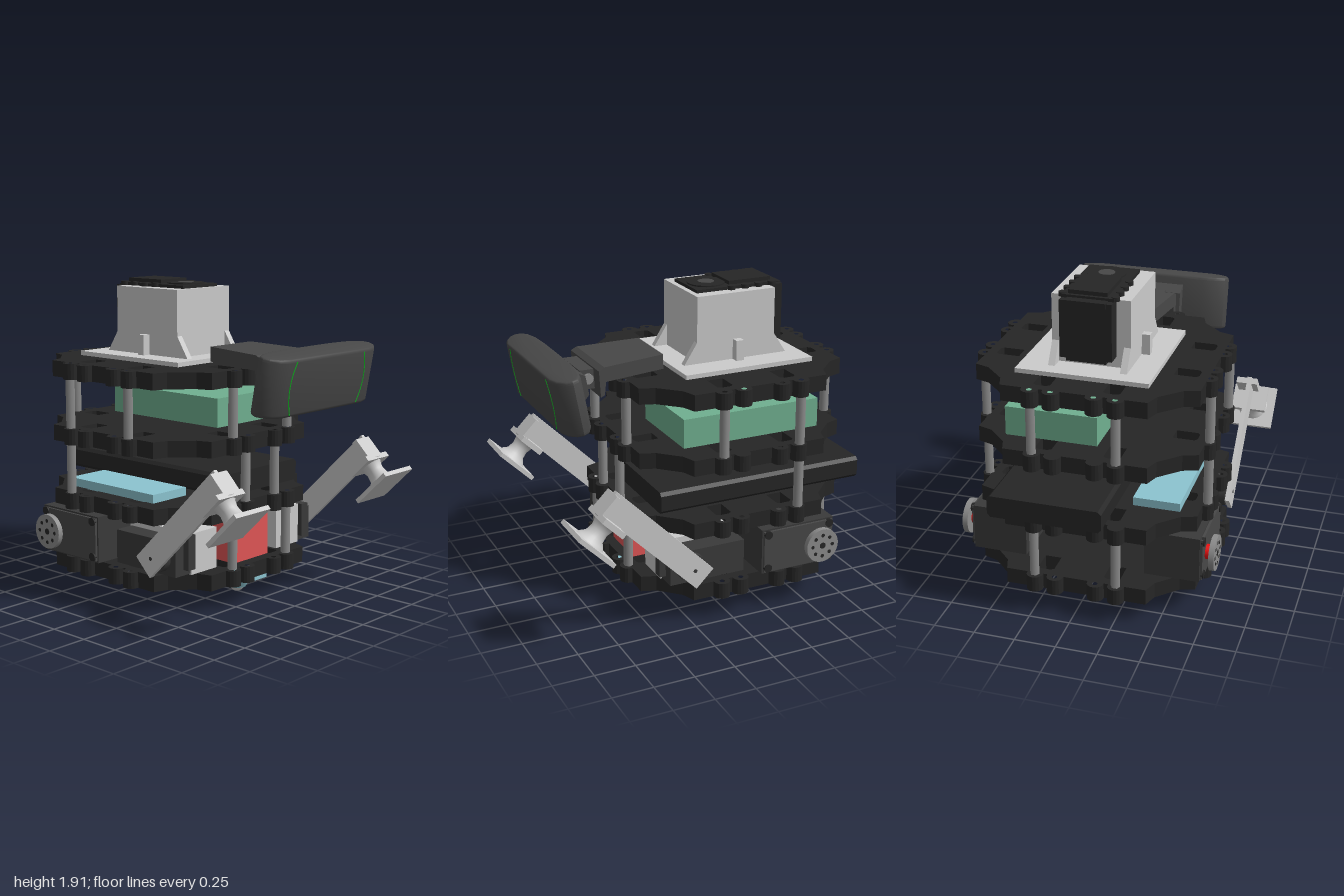
import * as THREE from 'three';
import { toCreasedNormals } from 'three/addons/utils/BufferGeometryUtils.js';

const mat = (color) => new THREE.MeshStandardMaterial({ color });
const GREY = mat(0xcccccc), BLACK = mat(0x262626), DARK = mat(0x484848), MOTOR = mat(0x3a3a3a),
  STEEL = mat(0x8c8c8c), GREEN = mat(0x70b090), BLUE = mat(0x8cc4d0), RED = mat(0xe05555),
  SHAFT = mat(0xee1111), STRIPE = mat(0x11bb22);
const CX = -0.205; // centre of the decks

function add(parent, name, geo, material) {
  const m = new THREE.Mesh(geo, material);
  m.name = name;
  parent.add(m);
  return m;
}
// box given by its limits
function box(parent, name, material, [x0, x1], [y0, y1], [z0, z1]) {
  const g = new THREE.BoxGeometry(x1 - x0, y1 - y0, z1 - z0);
  return add(parent, name, g.translate((x0 + x1) / 2, (y0 + y1) / 2, (z0 + z1) / 2), material);
}
function cyl(parent, name, material, r0, r1, h, x, y, z, axis = 'y', sides = 24) {
  const g = new THREE.CylinderGeometry(r0, r1, h, sides);
  if (axis === 'z') g.rotateX(Math.PI / 2);
  return add(parent, name, g.translate(x, y, z), material);
}
// side profile in x,y extruded between two z values
function prismGeo(pts, z0, z1) {
  const s = new THREE.Shape(pts.map((p) => new THREE.Vector2(...p)));
  return new THREE.ExtrudeGeometry(s, { depth: z1 - z0, bevelEnabled: false }).translate(0, 0, z0);
}

// deck: four equal sides with drilled lugs, hollowed corners and slots
function deckGeometry() {
  const pts = [], shape = new THREE.Shape();
  const turn = (u, v, k) => new THREE.Vector2(u, v).rotateAround(new THREE.Vector2(), -k * Math.PI / 2);
  for (let k = 0; k < 4; k++) {
    pts.push(turn(-0.43, 0.67, k));
    for (const c of [-0.25, -0.125, 0.125, 0.25]) {
      for (let i = 0; i <= 8; i++) {
        const a = Math.PI * (1 - i / 8);
        pts.push(turn(c + 0.05 * Math.cos(a), 0.68 + 0.048 * Math.sin(a) - (i % 8 ? 0 : 0.01), k));
      }
      const hole = new THREE.Path(), p = turn(c, 0.685, k);
      hole.absarc(p.x, p.y, 0.016, 0, Math.PI * 2, true);
      shape.holes.push(hole);
    }
    for (const [u, v] of [[0.43, 0.67], [0.46, 0.58], [0.52, 0.52], [0.58, 0.46]]) pts.push(turn(u, v, k));
    for (const c of [-0.205, 0.205]) {
      const corners = [[-0.05, 0.47], [0.05, 0.47], [0.05, 0.6], [0.03, 0.615], [-0.03, 0.615], [-0.05, 0.6]];
      shape.holes.push(new THREE.Path(corners.map(([u, v]) => turn(c + u, v, k))));
    }
  }
  shape.setFromPoints(pts);
  return new THREE.ExtrudeGeometry(shape, { depth: 0.098, bevelEnabled: false, curveSegments: 8 })
    .rotateX(-Math.PI / 2).translate(CX, 0, 0);
}

function addDecks(root) {
  const g = deckGeometry();
  for (const y of [0.13, 0.53, 0.93, 1.33]) add(root, 'deck', g, BLACK).position.y = y;
  // hexagonal standoffs, each listed as x, z, bottom, top
  const posts = [[-0.885, 0.25, 1.03, 1.33], [0.47, 0.25, 1.03, 1.33], [-0.455, 0.69, 1.03, 1.33],
    [0.045, 0.69, 1.03, 1.33], [-0.455, 0.69, 0.625, 0.93], [0.47, 0.135, 0.625, 0.93],
    [0.47, 0.25, 0.23, 0.53], [-0.885, 0.25, 0.23, 0.53]];
  for (const [x, z, y0, y1] of posts)
    for (const s of [1, -1]) cyl(root, 'standoff', STEEL, 0.029, 0.029, y1 - y0, x, (y0 + y1) / 2, s * z, 'y', 6);
}

function addBoards(root) {
  // battery pack with chamfered long edges
  const b = [[-0.49, 0.66], [-0.47, 0.64], [0.18, 0.64], [0.2, 0.66], [0.2, 0.755], [0.18, 0.775], [-0.47, 0.775], [-0.49, 0.755]];
  add(root, 'batteryPack', prismGeo(b.map(([z, y]) => [-z, y]), -1, 0.355).rotateY(Math.PI / 2), BLACK);
  box(root, 'blueBoard', BLUE, [-0.61, 0.115], [0.625, 0.68], [0.275, 0.56]);
  box(root, 'greenBoard', GREEN, [-0.7, 0.2], [1.03, 1.21], [-0.475, 0.085]);
  box(root, 'redBoard', RED, [-0.21, 0.4], [0.228, 0.49], [-0.16, 0.155]);
}

// one side's drive motor and lifting arm (built for +z)
function buildSide() {
  const g = new THREE.Group();
  box(g, 'driveMotor', MOTOR, [-0.7, -0.21], [0.228, 0.515], [0.37, 0.705]);
  box(g, 'driveMotorCap', DARK, [-0.69, -0.22], [0.24, 0.505], [0.7, 0.72]);
  for (const x of [-0.665, -0.245])
    for (const y of [0.265, 0.485]) cyl(g, 'motorScrew', BLACK, 0.026, 0.026, 0.02, x, y, 0.718, 'z', 12);
  cyl(g, 'driveShaft', SHAFT, 0.045, 0.045, 0.05, -0.585, 0.375, 0.735, 'z');
  cyl(g, 'wheelHub', STEEL, 0.108, 0.108, 0.033, -0.585, 0.375, 0.77, 'z', 32);
  for (let i = 0; i < 8; i++) {
    const a = i * Math.PI / 4;
    cyl(g, 'hubHole', BLACK, 0.012, 0.012, 0.004, -0.585 + 0.068 * Math.cos(a), 0.375 + 0.068 * Math.sin(a), 0.786, 'z', 10);
  }
  cyl(g, 'hubCentre', BLACK, 0.02, 0.02, 0.004, -0.585, 0.375, 0.786, 'z', 12);

  box(g, 'armMotor', MOTOR, [-0.13, 0.36], [0.235, 0.44], [0.48, 0.625]);
  box(g, 'armMotorFlange', MOTOR, [0.3, 0.4], [0.27, 0.48], [0.5, 0.56]);
  box(g, 'armMotorBracket', GREY, [-0.14, 0.37], [0.228, 0.478], [0.28, 0.5]);
  cyl(g, 'armHorn', MOTOR, 0.09, 0.09, 0.05, 0.23, 0.34, 0.645, 'z');

  // arm built straight along x from its pivot, then raised
  const arm = new THREE.Group();
  arm.name = 'liftingArm';
  arm.position.set(0.17, 0.28, 0.69);
  arm.rotation.z = 0.785;
  box(arm, 'armBar', GREY, [0, 0.86], [-0.078, 0.078], [-0.014, 0.014]);
  cyl(arm, 'pivotScrew', MOTOR, 0.012, 0.012, 0.034, 0.09, 0, 0, 'z', 12);
  box(arm, 'armEndFlange', GREY, [0.82, 0.86], [-0.09, 0.06], [-0.085, 0.05]);
  box(arm, 'mountPlate', GREY, [0.69, 0.86], [-0.105, -0.07], [-0.11, 0.11]);
  const stem = [[0, 0], [0.1, 0], [0.085, 0.02], [0.062, 0.045], [0.055, 0.09], [0.065, 0.13], [0.085, 0.15], [0, 0.15]];
  const lathe = new THREE.LatheGeometry(stem.map((p) => new THREE.Vector2(...p)), 28);
  add(arm, 'stem', toCreasedNormals(lathe, 0.7), GREY).position.set(0.78, -0.24, 0);
  box(arm, 'pushPlate', GREY, [0.635, 0.92], [-0.262, -0.235], [-0.143, 0.143]);
  g.add(arm);
  return g;
}

function addSides(root) {
  for (const s of [1, -1]) {
    const g = buildSide();
    g.name = s > 0 ? 'frontDrive' : 'backDrive';
    g.scale.z = s;
    root.add(g);
  }
}

function addCaster(root) {
  box(root, 'casterBase', BLUE, [0.13, 0.45], [0.1, 0.132], [-0.095, 0.095]);
  cyl(root, 'casterCup', BLUE, 0.095, 0.055, 0.07, 0.29, 0.067, 0, 'y', 20);
  for (const x of [0.165, 0.415])
    for (const z of [-0.06, 0.06]) cyl(root, 'casterScrew', STEEL, 0.016, 0.016, 0.012, x, 0.098, z, 'y', 10);
  add(root, 'casterBall', new THREE.SphereGeometry(0.05, 24, 16).translate(0.29, 0.05, 0), GREY);
}

function addTower(root) {
  box(root, 'towerBase', GREY, [-0.69, 0.155], [1.428, 1.455], [-0.41, 0.385]);
  box(root, 'tower', GREY, [-0.515, 0.003], [1.45, 1.865], [-0.24, 0.23]);
  // gussets at the foot
  for (const z of [-0.24, 0.19]) {
    add(root, 'gusset', prismGeo([[0, 1.59], [0, 1.45], [0.09, 1.45]], z, z + 0.04), GREY);
    add(root, 'gusset', prismGeo([[-0.6, 1.45], [-0.51, 1.45], [-0.51, 1.59]], z, z + 0.04), GREY);
  }
  for (const [z0, z1] of [[-0.29, -0.23], [0.22, 0.28]]) box(root, 'rib', GREY, [-0.285, -0.235], [1.45, 1.58], [z0, z1]);
  // turning motor set into the tower
  box(root, 'panMotor', BLACK, [-0.605, -0.5], [1.52, 1.865], [-0.165, 0.145]);
  box(root, 'panMotorBack', BLACK, [-0.615, -0.52], [1.84, 1.87], [-0.13, 0.11]);
  box(root, 'panMotorFoot', BLACK, [-0.6, -0.52], [1.5, 1.53], [-0.13, 0.11]);
  box(root, 'panMotorTop', BLACK, [-0.56, -0.03], [1.86, 1.884], [-0.165, 0.145]);
  box(root, 'panMotorCover', BLACK, [-0.54, -0.26], [1.88, 1.908], [-0.13, 0.1]);
  for (const x of [-0.53, -0.44, -0.35, -0.26])
    for (const z of [-0.165, 0.145]) cyl(root, 'motorScrew', BLACK, 0.025, 0.025, 0.025, x, 1.877, z, 'y', 10);
  cyl(root, 'panHorn', BLACK, 0.115, 0.115, 0.022, -0.16, 1.881, -0.02, 'y', 32);
  cyl(root, 'panHornCap', DARK, 0.05, 0.05, 0.006, -0.16, 1.892, -0.02);
}

function addCamera(root) {
  // clip arm, widening toward the hinge
  const clip = prismGeo([[0.21, 1.445], [0.59, 1.43], [0.6, 1.35], [0.625, 1.34], [0.635, 1.5], [0.6, 1.52], [0.21, 1.535]], -0.2, 0.2);
  const p = clip.attributes.position;
  for (let i = 0; i < p.count; i++) p.setZ(i, p.getZ(i) * (0.92 + 0.5 * (p.getX(i) - 0.21)) - 0.025);
  clip.computeVertexNormals();
  add(root, 'clipArm', clip, DARK);
  box(root, 'hingeBlock', DARK, [0.62, 0.72], [1.37, 1.49], [-0.16, 0.11]);
  cyl(root, 'hingePin', STEEL, 0.032, 0.032, 0.3, 0.67, 1.435, -0.025, 'z');

  const head = new THREE.Group();
  head.name = 'cameraHead';
  head.position.set(0.868, 1.39, -0.012);
  head.rotation.z = -0.18;
  // rounded body, outlined from above
  const half = [[0.075, 0], [0.075, 0.37], [0.058, 0.43], [0.025, 0.475], [-0.005, 0.487], [-0.035, 0.475], [-0.06, 0.43], [-0.078, 0.34], [-0.085, 0.2]];
  const outline = [...half, ...half.slice(1).reverse().map(([x, z]) => [x, -z])];
  const s = new THREE.Shape(outline.map((q) => new THREE.Vector2(...q)));
  const body = new THREE.ExtrudeGeometry(s, { depth: 0.3, bevelThickness: 0.02, bevelSize: 0.015, bevelSegments: 3 });
  add(head, 'cameraBody', toCreasedNormals(body.translate(0, 0, -0.15).rotateX(-Math.PI / 2), 0.6), DARK);
  add(head, 'cameraNeck', prismGeo([[-0.17, -0.06], [-0.08, -0.13], [-0.08, 0.12], [-0.17, 0.06]], -0.22, 0.22), DARK);
  // bowed light strips on the face
  for (const side of [1, -1]) {
    const path = [-0.155, -0.08, 0, 0.08, 0.155].map((y) => new THREE.Vector3(0.088, y, side * (0.345 - 1.4 * y * y)));
    add(head, 'lightStrip', new THREE.TubeGeometry(new THREE.CatmullRomCurve3(path), 16, 0.005, 6), STRIPE);
  }
  root.add(head);
}

export function createModel() {
  const root = new THREE.Group();
  root.name = 'robot';
  addDecks(root);
  addBoards(root);
  addSides(root);
  addCaster(root);
  addTower(root);
  addCamera(root);
  return root;
}
